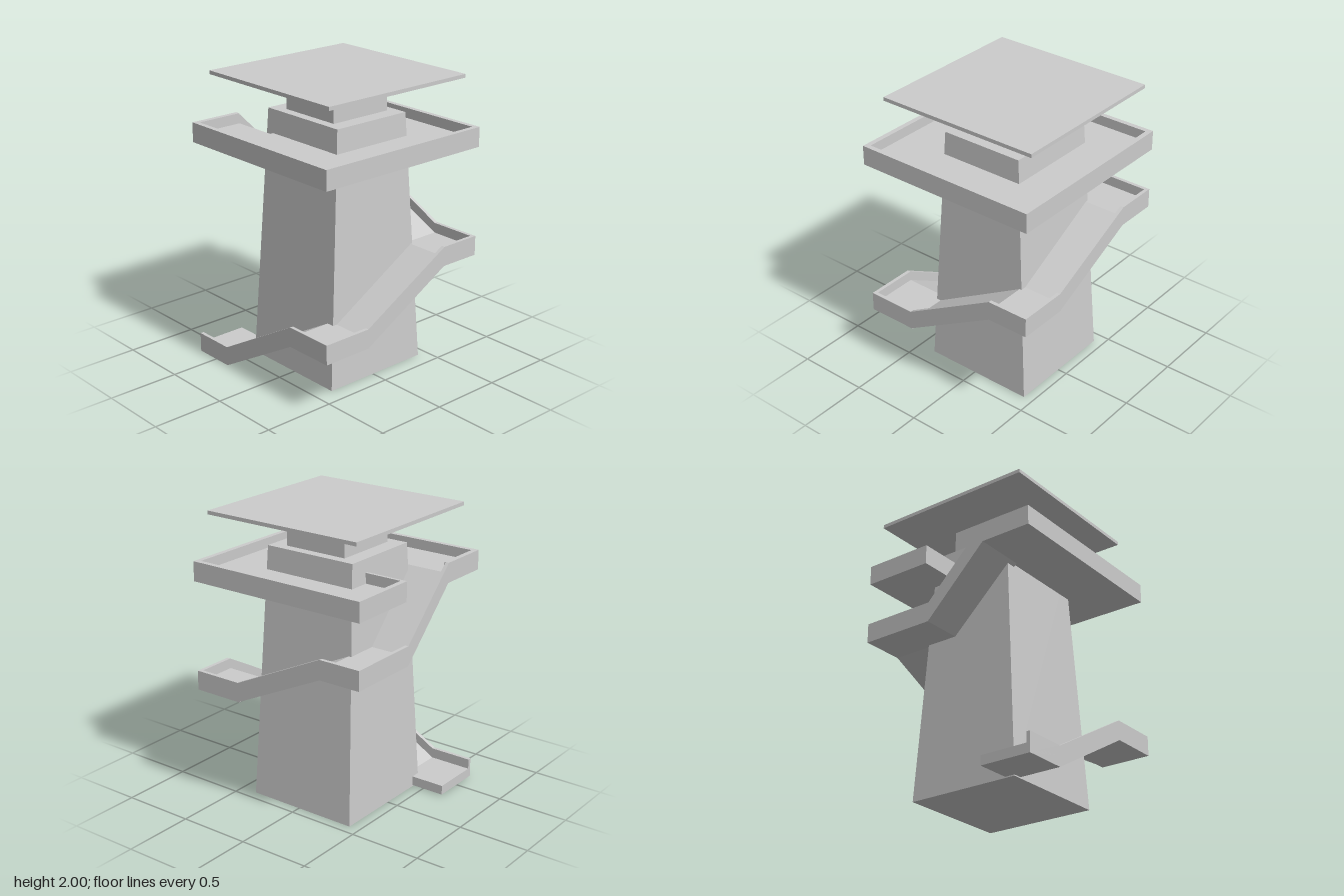
import * as THREE from 'three';

const material = new THREE.MeshStandardMaterial({ color: 0xcccccc, flatShading: true });

function addMesh(parent, name, geometry) {
  const mesh = new THREE.Mesh(geometry, material);
  mesh.name = name;
  parent.add(mesh);
  return mesh;
}

function extrude(points, depth) {
  const shape = new THREE.Shape(points.map(([x, y]) => new THREE.Vector2(x, y)));
  return new THREE.ExtrudeGeometry(shape, { depth, bevelEnabled: false });
}

// Plan outline in x, z raised from y0 to y1
function slab(points, y0, y1) {
  return extrude(points.map(([x, z]) => [x, -z]), y1 - y0).rotateX(-Math.PI / 2).translate(0, y0, 0);
}

// Band of constant vertical height following a path of [along, y], from z0 to z1
function band(path, height, z0, z1) {
  const top = path.map(([s, y]) => [s, y + height]).reverse();
  return extrude([...path, ...top], z1 - z0).translate(0, 0, z0);
}

const OUTER = 0.66, INNER = 0.3, FLOOR = 0.065, RAIL = 0.135, RAIL_WIDTH = 0.025;

export function createModel() {
  const group = new THREE.Group();

  // Tapered tower
  const tower = new THREE.BoxGeometry(0.8, 1.75, 0.8).translate(0, 0.875, 0);
  const p = tower.attributes.position;
  for (let i = 0; i < p.count; i++) {
    if (p.getY(i) > 1) p.setXYZ(i, Math.sign(p.getX(i)) * 0.337, 1.75, Math.sign(p.getZ(i)) * 0.295);
  }
  tower.computeVertexNormals();
  addMesh(group, 'tower', tower).position.set(-0.021, 0, -0.03);

  // Neck and flat roof
  addMesh(group, 'neck', new THREE.BoxGeometry(0.46, 0.235, 0.46)).position.set(-0.02, 1.8625, -0.03);
  addMesh(group, 'roof', new THREE.BoxGeometry(1.165, 0.025, 1.165)).position.set(-0.02, 1.9875, -0.032);

  // Ramps winding up around the four sides: low y, high y, slope start, slope end
  const flights = [
    [0.008, 0.39, -0.36, 0.31],
    [0.39, 0.77, -0.31, 0.365],
    [0.77, 1.09, -0.31, 0.36],
    [1.09, 1.525, -0.14, 0.3],
  ];
  flights.forEach(([low, high, s0, s1], i) => {
    const ramp = new THREE.Group();
    ramp.name = `ramp${i + 1}`;
    ramp.rotation.y = i * Math.PI / 2;
    group.add(ramp);
    // the previous corner landing already covers the start of later ramps
    const start = i === 0 ? -OUTER : -INNER - 0.02;
    const path = [[start, low], [s0, low], [s1, high]];
    if (i < 3) path.push([OUTER, high]);
    addMesh(ramp, 'rampFloor', band(path, FLOOR, INNER, OUTER));
    const railPath = [[-OUTER, low], [s0, low], [s1, high], [OUTER, high]];
    addMesh(ramp, 'rampRail', band(railPath, RAIL, OUTER - RAIL_WIDTH, OUTER));
  });

  // Upper platform with a stairwell notch on the -x side
  const o = OUTER, n = 0.625;
  addMesh(group, 'platformFloor', slab([
    [-o, 0.3], [-o, o], [o, o], [o, -o], [-o, -o], [-o, -0.17], [-0.3, -0.17], [-0.3, 0.3],
  ], 1.525, 1.59));
  addMesh(group, 'platformRail', slab([
    [-o, 0.3], [-o, o], [o, o], [o, -o], [-o, -o], [-o, -0.17], [-0.34, -0.17], [-0.34, -0.19],
    [-n, -0.19], [-n, -n], [n, -n], [n, n], [-n, n], [-n, 0.3],
  ], 1.525, 1.66));

  return group;
}
